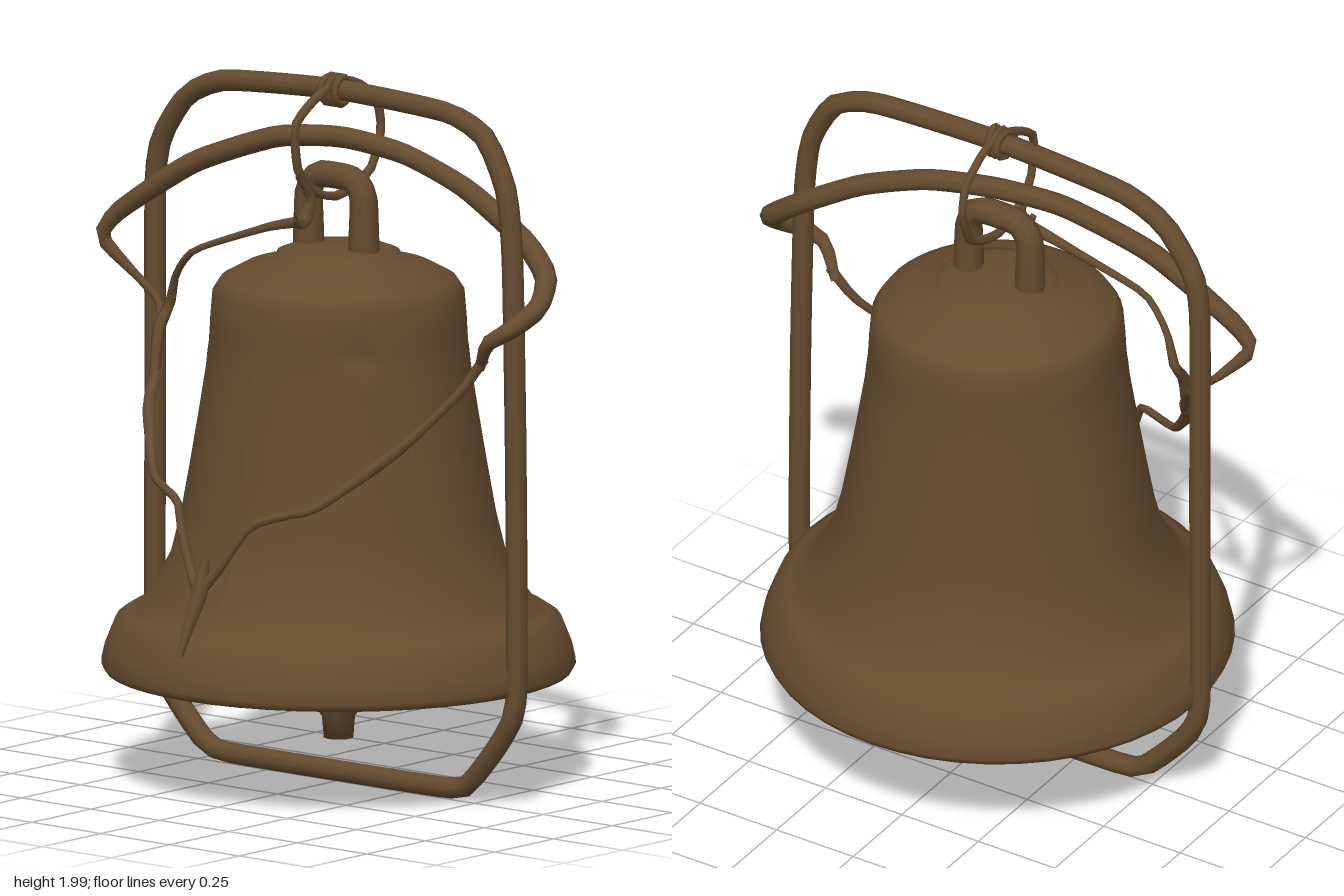
import * as THREE from 'three';

export function createModel() {
  const model = new THREE.Group();
  const bronze = new THREE.MeshStandardMaterial({ color: 0x664c2f, side: THREE.DoubleSide });
  bronze.name = 'aged bronze';

  const add = (name, geometry) => {
    const mesh = new THREE.Mesh(geometry, bronze);
    mesh.name = name;
    model.add(mesh);
    return mesh;
  };

  // Tube through points whose radius follows a list of values along its length
  const tube = (name, points, radii, { closed = false, sides = 8, steps = points.length * 3 } = {}) => {
    const curve = new THREE.CatmullRomCurve3(points.map(p => new THREE.Vector3(...p)), closed, 'catmullrom', 0.3);
    const geo = new THREE.TubeGeometry(curve, steps, 1, sides, closed);
    const pos = geo.attributes.position;
    const v = new THREE.Vector3();
    for (let i = 0; i <= steps; i++) {
      const c = curve.getPointAt(i / steps);
      const t = (i / steps) * (radii.length - 1);
      const k = Math.min(Math.floor(t), radii.length - 2);
      const r = radii.length === 1 ? radii[0] : THREE.MathUtils.lerp(radii[k], radii[k + 1], t - k);
      for (let j = 0; j <= sides; j++) {
        const n = i * (sides + 1) + j;
        v.fromBufferAttribute(pos, n).sub(c).multiplyScalar(r).add(c);
        pos.setXYZ(n, v.x, v.y, v.z);
      }
    }
    return add(name, geo);
  };
  const lathe = (profile, sides) =>
    new THREE.LatheGeometry(profile.map(([r, y]) => new THREE.Vector2(r, y)), sides);

  // Bell: inner wall up from the closed crown, lip, then outer wall
  const bell = lathe([
    [0, 1.36], [0.24, 1.35], [0.3, 1.28], [0.32, 1.05], [0.37, 0.8], [0.44, 0.6], [0.53, 0.46], [0.615, 0.335],
    [0.645, 0.325], [0.655, 0.345], [0.645, 0.39], [0.615, 0.465], [0.58, 0.488], [0.555, 0.495],
    [0.515, 0.55], [0.462, 0.65], [0.435, 0.76], [0.41, 0.9], [0.385, 1.05], [0.366, 1.17],
    [0.362, 1.21], [0.358, 1.24], [0.356, 1.27], [0.354, 1.31], [0.348, 1.385],
    [0.325, 1.42], [0.26, 1.455], [0.175, 1.475], [0.17, 1.495], [0.13, 1.51], [0, 1.515],
  ], 48);
  // Small dent on the shoulder
  const dent = new THREE.Vector3(0.27, 1.26, 0.23);
  const pos = bell.attributes.position;
  const v = new THREE.Vector3();
  for (let i = 0; i < pos.count; i++) {
    v.fromBufferAttribute(pos, i);
    const s = 1 - 0.09 * Math.max(0, 1 - v.distanceTo(dent) / 0.05);
    pos.setXYZ(i, v.x * s, v.y, v.z * s);
  }
  bell.computeVertexNormals();
  add('bell', bell).position.z = -0.01;

  // Clapper: rod and faceted bulb
  add('clapper', lathe([
    [0, 0.13], [0.042, 0.13], [0.047, 0.19], [0.1, 0.27], [0.108, 0.32], [0.05, 0.43], [0.035, 0.47], [0.035, 1.37],
  ], 10)).position.z = -0.01;

  // Square crown loop on top of the bell
  tube('crownLoop', [
    [-0.1, 1.47, 0], [-0.1, 1.56, 0], [-0.098, 1.66, 0], [-0.06, 1.705, 0],
    [0.06, 1.705, 0], [0.098, 1.66, 0], [0.1, 1.56, 0], [0.1, 1.47, 0],
  ], [0.045, 0.038, 0.038, 0.045]);

  // Rounded hanging frame around the bell
  tube('frame', [
    [-0.655, 0.33, 0], [-0.605, 0.2, 0], [-0.48, 0.065, 0], [-0.4, 0.04, 0], [0, 0.038, 0], [0.4, 0.04, 0],
    [0.48, 0.06, 0], [0.6, 0.2, 0], [0.652, 0.33, 0], [0.65, 1.0, 0], [0.638, 1.55, 0], [0.615, 1.74, 0],
    [0.54, 1.88, 0], [0.4, 1.935, 0], [0, 1.95, 0], [-0.4, 1.925, 0], [-0.54, 1.865, 0], [-0.63, 1.74, 0],
    [-0.655, 1.6, 0], [-0.655, 1.0, 0],
  ], [0.03], { closed: true, steps: 110 });

  // Wrapped knot on the frame
  for (const x of [-0.02, 0, 0.02]) {
    const wrap = add('frameKnot', new THREE.TorusGeometry(0.038, 0.011, 6, 12));
    wrap.rotation.y = Math.PI / 2 + x * 8;
    wrap.position.set(x, 1.948, 0);
  }

  // Cord ring through the crown loop
  tube('hangingRing', [
    [0, 1.97, 0], [0, 1.93, 0.1], [0, 1.87, 0.175], [0, 1.74, 0.16], [0, 1.67, 0.08], [0, 1.65, 0],
    [0, 1.67, -0.08], [0, 1.71, -0.15], [0, 1.81, -0.19], [0, 1.9, -0.17], [0, 1.96, -0.08],
  ], [0.013], { closed: true, sides: 6 });

  // Bent strap arching over the bell, tapering into the ropes
  tube('strap', [
    [-0.66, 1.36, 0.08], [-0.745, 1.46, 0.12], [-0.69, 1.54, 0.11], [-0.45, 1.7, 0.075], [-0.2, 1.795, 0.02],
    [0, 1.812, -0.025], [0.2, 1.785, -0.055], [0.4, 1.71, -0.08], [0.6, 1.585, -0.095], [0.7, 1.5, -0.07],
    [0.74, 1.43, 0.01], [0.7, 1.37, 0.09], [0.64, 1.33, 0.11], [0.58, 1.25, 0.07],
  ], [0.012, 0.026, 0.03, 0.03, 0.03, 0.03, 0.03, 0.032, 0.032, 0.028, 0.014], { steps: 56 });

  // Ropes draping from the strap ends to the front
  tube('leftRope', [
    [0.6, 1.28, 0.075], [0.54, 1.18, 0.11], [0.43, 1.03, 0.23], [0.28, 0.87, 0.41], [0.22, 0.85, 0.455],
    [0.12, 0.81, 0.51], [0.05, 0.69, 0.56], [0, 0.62, 0.585],
  ], [0.015, 0.012, 0.018, 0.012, 0.012, 0.016], { sides: 6 });
  tube('rightRope', [
    [-0.66, 1.36, 0.08], [-0.58, 1.29, 0.07], [-0.51, 1.2, 0.16], [-0.465, 1.12, 0.22], [-0.44, 1.05, 0.28],
    [-0.31, 0.89, 0.41], [-0.15, 0.85, 0.5], [-0.11, 0.78, 0.53], [-0.05, 0.68, 0.56], [0, 0.62, 0.585],
  ], [0.012, 0.012, 0.02, 0.012, 0.012, 0.016], { sides: 6 });
  tube('ropeTail', [
    [0, 0.71, 0.555], [0.005, 0.62, 0.59], [-0.003, 0.54, 0.62], [-0.01, 0.45, 0.655],
  ], [0.012, 0.026, 0.018, 0.009], { sides: 6 });

  // Thin cord from the hanging ring to the rope knot, with a short upright strand
  tube('thinCord', [
    [0, 1.6, 0.14], [-0.12, 1.57, 0.145], [-0.36, 1.48, 0.175], [-0.45, 1.4, 0.15],
    [-0.49, 1.31, 0.13], [-0.49, 1.24, 0.18], [-0.465, 1.1, 0.23],
  ], [0.018, 0.012, 0.01, 0.01, 0.018, 0.014], { sides: 6 });
  tube('uprightStrand', [
    [0, 1.73, 0.16], [0, 1.66, 0.11], [0, 1.59, 0.14], [0, 1.61, 0.175],
  ], [0.01, 0.014, 0.02, 0.01], { sides: 6 });

  return model;
}
